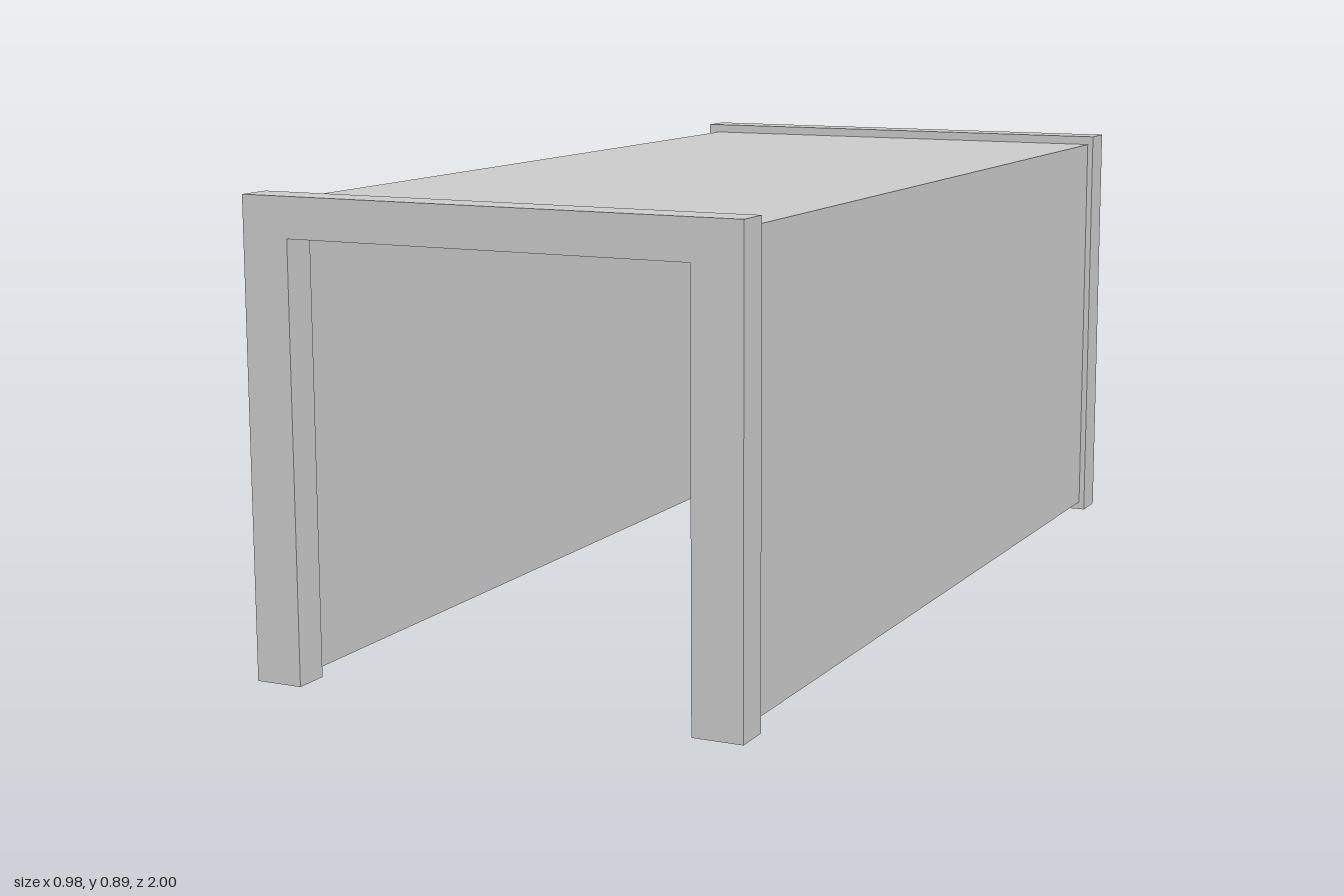
import * as THREE from 'three';

const material = new THREE.MeshStandardMaterial({ color: 0xcccccc, flatShading: true });

// Upside-down U section extruded along z; the two legs may end at different heights
function arch(name, { left, right, top, innerLeft, innerRight, innerTop, footLeft, footRight }, z0, z1) {
  const shape = new THREE.Shape([
    [left, footLeft], [innerLeft, footLeft], [innerLeft, innerTop], [innerRight, innerTop],
    [innerRight, footRight], [right, footRight], [right, top], [left, top],
  ].map(([x, y]) => new THREE.Vector2(x, y)));
  const geometry = new THREE.ExtrudeGeometry(shape, { depth: z1 - z0, bevelEnabled: false });
  geometry.translate(0, 0, z0);
  const mesh = new THREE.Mesh(geometry, material);
  mesh.name = name;
  return mesh;
}

export function createModel() {
  const group = new THREE.Group();
  group.name = 'tunnel';

  // Thicker end frames, the rear one set slightly sideways
  const frame = {
    left: -0.484, right: 0.488, top: 0.888,
    innerLeft: -0.392, innerRight: 0.392, innerTop: 0.813,
    footLeft: 0, footRight: 0.013,
  };
  const frontFrame = arch('frontFrame', frame, 0.93, 1);
  const backFrame = arch('backFrame', frame, -1, -0.928);
  backFrame.position.x = -0.005;

  // Thinner roof and side walls running between the frames
  const shell = arch('roofAndWalls', {
    left: -0.466, right: 0.471, top: 0.87,
    innerLeft: -0.411, innerRight: 0.411, innerTop: 0.831,
    footLeft: 0.01, footRight: 0.03,
  }, -0.928, 0.93);

  group.add(frontFrame, backFrame, shell);
  return group;
}
